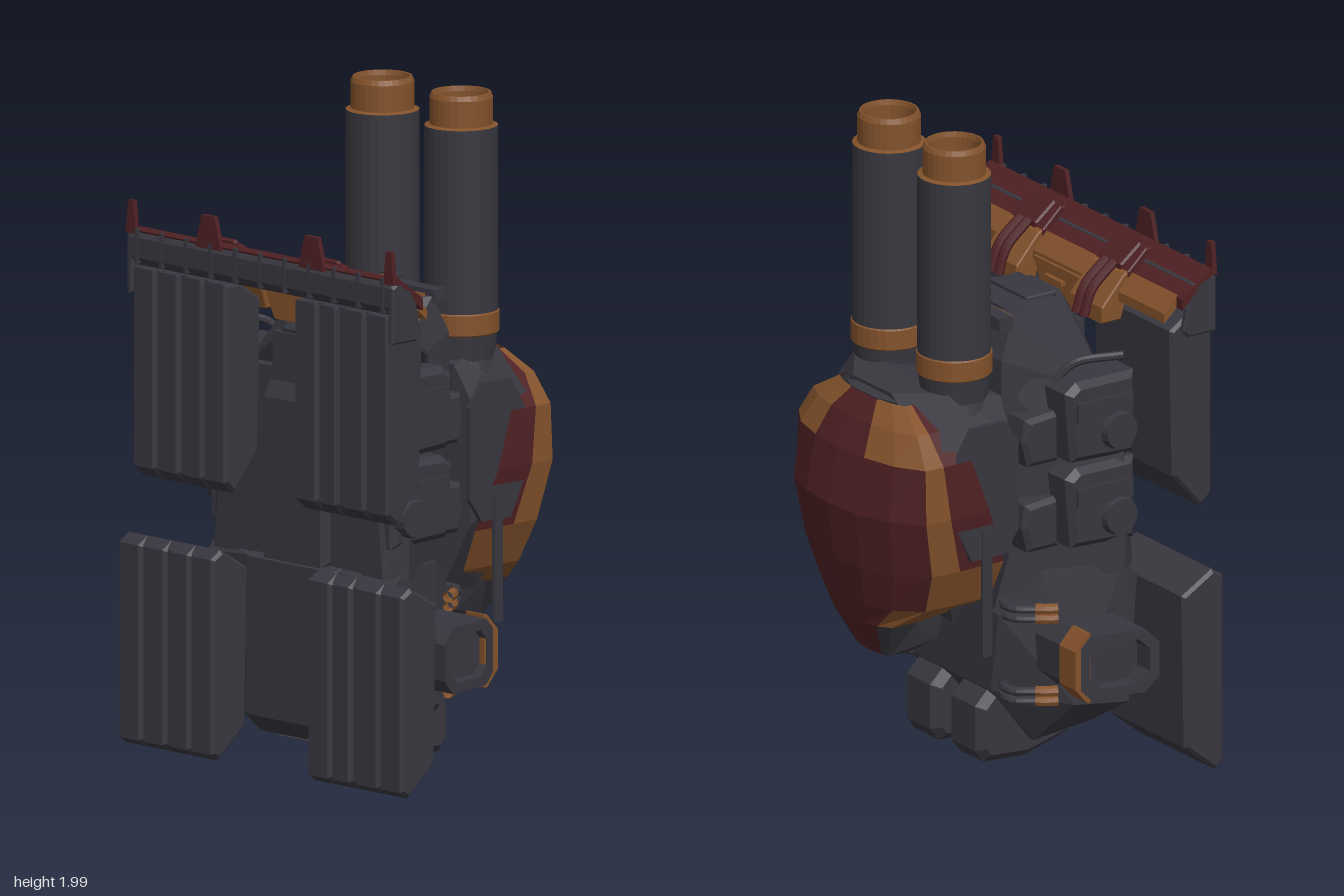
import * as THREE from 'three';
import { ConvexGeometry } from 'three/addons/geometries/ConvexGeometry.js';

const material = (name, color) => Object.assign(
  new THREE.MeshStandardMaterial({ color, flatShading: true, side: THREE.DoubleSide }), { name });

export function createModel() {
  const model = new THREE.Group();
  const dark = material('gunmetal', 0x38373f);
  const brown = material('bronze', 0x83522b);
  const red = material('dark red', 0x4e2023);
  const sides = [-1, 1];

  const add = (name, geo, mat, x = 0, y = 0, z = 0) => {
    const mesh = new THREE.Mesh(geo, mat);
    mesh.name = name;
    mesh.position.set(x, y, z);
    model.add(mesh);
    return mesh;
  };
  const box = (name, mat, w, h, d, x, y, z) => add(name, new THREE.BoxGeometry(w, h, d), mat, x, y, z);
  // Convex block; each point is also mirrored across x
  const block = (name, mat, pts) => add(name, new ConvexGeometry(
    pts.flatMap(([x, y, z]) => sides.map(s => new THREE.Vector3(s * x, y, z)))), mat);
  // Side profile of [z, y] points, extruded from x = a to x = b
  const prism = (name, mat, profile, a, b, bevel = 0.008) => {
    const x0 = Math.min(a, b), x1 = Math.max(a, b);
    const geo = new THREE.ExtrudeGeometry(new THREE.Shape(profile.map(p => new THREE.Vector2(...p))), {
      depth: x1 - x0 - bevel * 2, bevelEnabled: bevel > 0, bevelSize: bevel, bevelThickness: bevel,
      bevelOffset: -bevel, bevelSegments: 1 });
    geo.rotateY(-Math.PI / 2).translate(x1 - bevel, 0, 0);
    return add(name, geo, mat);
  };
  const tube = (name, mat, pts, r) => add(name, new THREE.TubeGeometry(
    new THREE.CatmullRomCurve3(pts.map(p => new THREE.Vector3(...p))), 12, r, 8), mat);

  // Hull
  block('rearHull', dark, [[.2, .14, .36], [.2, .62, .36], [.4, .6, .33], [.4, .2, .3], [.2, .08, .3], [.22, .07, .08],
    [.38, .22, .12], [.2, .25, -.06], [.24, .5, -.06], [.3, .63, .06], [.4, .65, .28]]);
  block('middleHull', dark, [[.41, .62, .28], [.41, .82, .28], [.36, 1.2, .3], [.36, .62, .34], [.3, 1.2, .34],
    [.22, .55, -.05], [.22, 1.24, -.05]]);
  block('nose', dark, [[.3, 1.15, .3], [.24, 1.15, -.05], [.24, 1.3, -.05], [.22, 1.41, 0], [.07, 1.41, .28], [.06, 1.32, .34]]);
  prism('bellyKeel', dark, [[.2, .62], [.365, .62], [.365, 1.11], [.34, 1.16], [.2, 1.16]], -.14, .14, .02);
  prism('rearBelly', dark, [[.1, .07], [.3, .08], [.37, .14], [.375, .62], [.3, .64], [.1, .64]], -.2, .2, .015);

  // Nose details
  box('noseBrow', dark, .46, .04, .05, 0, 1.41, -.025);
  box('noseTrim', brown, .4, .012, .012, 0, 1.412, .016);
  box('noseSlot', dark, .24, .012, .015, 0, 1.412, .045);
  prism('noseHatch', dark, [[.14, 1.4], [.25, 1.4], [.25, 1.42], [.14, 1.42]], -.1, .1, .005);
  box('noseHook', dark, .07, .05, .04, 0, 1.42, -.05);
  box('noseHookTip', brown, .06, .008, .012, 0, 1.435, -.025);
  box('noseTip', brown, .09, .012, .015, 0, 1.41, .312);
  block('bellyTrim', brown, [[.13, 1.45, .36], [.08, 1.35, .36], [.07, 1.35, .32], [.12, 1.45, .32]]);
  box('bellyStep', dark, .2, .14, .05, 0, 1.24, .325);

  const foot = [[.25, .06], [.08, .01], [-.07, .02], [-.1, .06], [-.1, .2], [-.05, .25], [.1, .25]];
  const rearTrack = [[.5, .03], [.47, .01], [.36, .1], [.35, .58], [.46, .645], [.5, .62]];
  const frontTrack = [[.5, .86], [.46, .825], [.36, .94], [.35, 1.4], [.44, 1.46], [.5, 1.46]];
  // Four bars over a recessed core, with a wider gap in the middle
  const trackSet = (name, profile, inner, outer, s) => {
    const step = (outer - inner) / 4;
    for (let i = 0; i < 4; i++)
      prism(name, dark, profile, s * (inner + i * step), s * (inner + (i + 1) * step - (i === 1 ? .02 : .004)), .01);
    const core = profile.map(([z, y]) => [Math.min(z, .485), y]);
    prism(name + 'Core', dark, core, s * (inner + .01), s * (outer - .01), .015);
  };

  // Octagonal outline in z and y
  const octagon = (z0, z1, y0, y1, k) => [[z1 - k, y0], [z0 + k, y0], [z0, y0 + k], [z0, y1 - k],
    [z0 + k, y1], [z1 - k, y1], [z1, y1 - k], [z1, y0 + k]].map(p => new THREE.Vector2(...p));

  for (const s of sides) {
    prism('tailFoot', dark, foot, s * .115 - .085, s * .115 + .085, .025);
    trackSet('rearTrack', rearTrack, .2, .612, s);
    trackSet('frontTrack', frontTrack, .145, .55, s);

    // Suspension boxes with round hubs
    for (const y of [.84, 1.11]) {
      prism('suspensionBox', dark, [[.33, y - .13], [.1, y - .12], [.08, y + .1], [.12, y + .13], [.33, y + .13]],
        s * .26, s * .4, .02);
      const hub = add('hub', new THREE.CylinderGeometry(.055, .065, .04, 16), dark, s * .405, y - .04, .26);
      hub.rotation.z = -s * Math.PI / 2;
      box('suspensionArm', dark, .05, .06, .2, s * .385, y + .04, .21);
      prism('sidePod', dark, [[.1, y - .13], [-.01, y - .13], [-.03, y - .05], [-.02, y + .02], [.1, y + .03]],
        s * .21, s * .33, .015);
    }

    // Side exhaust duct: octagonal sleeve, cut at a slant at its open end
    const duct = new THREE.Shape(octagon(.03, .29, .29, .49, .045));
    duct.holes.push(new THREE.Path(octagon(.07, .26, .32, .46, .035)));
    const sleeve = new THREE.ExtrudeGeometry(duct, { depth: .18, bevelEnabled: false });
    const p = sleeve.attributes.position;
    for (let i = 0; i < p.count; i++) p.setZ(i, p.getZ(i) > .1 ? .52 + (p.getX(i) - .03) * .2 : .3);
    add('exhaustDuct', sleeve.rotateY(-Math.PI / 2), dark).scale.x = -s;
    box('exhaustCore', dark, .2, .15, .2, s * .4, .39, .165);
    prism('exhaustCollar', brown, [[.075, .28], [.065, .28], [.02, .33], [.02, .45], [.065, .5], [.075, .5]], s * .44, s * .522, 0);

    // Cables in pairs above and below the duct
    for (const y of [.24, .27, .5, .53]) {
      tube('cable', dark, [[s * .18, y, .03], [s * .22, y, -.03], [s * .28, y, -.04], [s * .34, y, .03]], .014);
      tube('cableTip', brown, [[s * .325, y, .015], [s * .345, y, .04], [s * .36, y, .07]], .017);
    }

    // Hand rail beside the nose
    tube('handRail', dark, [[s * .3, 1.22, .1], [s * .33, 1.28, .15], [s * .4, 1.3, .28]], .013);

    // Bumper clamps, short pipes, spikes and end plates
    prism('clamp', brown, [[.27, 1.37], [.34, 1.37], [.365, 1.45], [.365, 1.515], [.35, 1.51], [.27, 1.42]], s * .22 - .085, s * .22 + .085, .004);
    prism('clampPlate', red, [[.365, 1.45], [.45, 1.5], [.45, 1.575], [.43, 1.575], [.365, 1.515]], s * .22 - .085, s * .22 + .085, .004);
    prism('clampCover', red, [[.36, 1.5], [.44, 1.55], [.445, 1.58], [.43, 1.585], [.36, 1.53]], s * .22 - .055, s * .22 + .055, .006);
    for (const x of [.2, .24]) tube('clampPipe', red, [[s * x, 1.38, .25], [s * x, 1.46, .28], [s * x, 1.53, .36]], .015);
    for (const [x, w] of [[.22, .055], [.55, .022]]) {
      const spike = new THREE.Shape([[-w, 0], [w, 0], [w * .5, .1], [-w * .5, .1]].map(q => new THREE.Vector2(...q)));
      add('spike', new THREE.ExtrudeGeometry(spike, { depth: .015, bevelEnabled: false }), red, s * x, 1.56, .485);
    }
    prism('bumperEnd', dark, [[.5, 1.38], [.5, 1.55], [.47, 1.57], [.4, 1.5], [.38, 1.4], [.4, 1.38]], s * .545, s * .57, .006);
  }

  // Front bumper: dark bar, red upper plate and bronze lower plate
  prism('bumperBar', dark, [[.5, 1.49], [.5, 1.55], [.485, 1.57], [.42, 1.54], [.39, 1.47], [.48, 1.465]], -.57, .57, .01);
  prism('bumperRedPlate', red, [[.497, 1.572], [.48, 1.582], [.375, 1.505], [.375, 1.47]], -.57, .57, 0);
  prism('bumperBronzePlate', brown, [[.375, 1.47], [.38, 1.51], [.33, 1.46], [.33, 1.43]], -.54, .54, 0);
  for (let i = -5; i <= 5; i++) box('bumperRib', dark, .012, .105, .02, i * .105, 1.525, .493);

  // Turret body and neck
  block('turretBody', dark, [[.31, .72, -.07], [.31, 1.1, -.07], [.2, .5, -.05], [.2, .5, -.2], [.25, 1.2, -.06],
    [.24, 1.24, -.24], [.32, .85, -.33], [.32, 1.05, -.33], [.1, 1.22, -.35]]);
  block('turretRing', dark, [[.18, .6, 0], [.18, 1.15, 0], [.2, .6, -.1], [.2, 1.15, -.1]]);
  block('turretTail', dark, [[.08, .38, -.28], [.12, .42, -.2], [.16, .58, -.18], [.08, .385, -.34], [.14, .58, -.41]]);

  // Armoured shell: rows of [y, half width, inner z, outer z] and a shared half outline
  const rows = [[.385, .08, -.335, -.36], [.5, .15, -.29, -.43], [.57, .25, -.1, -.455], [.7, .31, -.09, -.487],
    [.88, .337, -.16, -.51], [1.05, .33, -.22, -.475], [1.14, .27, -.27, -.43], [1.2, .17, -.29, -.38]];
  const half = [[1, 0], [1, .4], [.99, .65], [.73, .86], [.38, .97]];
  const outline = [...half, [0, 1], ...half.map(([x, z]) => [-x, z]).reverse()];
  const rings = rows.map(([y, w, z0, z1]) => outline.map(([x, z]) => [x * w, y, z0 + (z1 - z0) * z]));
  const shellColour = (i, edge) => {
    if (i === 0) return edge < 3 ? dark : red;
    if (i === 1) return edge < 3 ? brown : red;
    if (i === 2) return edge < 2 ? brown : red;
    if (i > 4) return edge > 0 && edge < 4 ? brown : red;
    return edge === 1 ? brown : red;
  };
  const faces = new Map([[dark, []], [brown, []], [red, []]]);
  for (let i = 0; i < rows.length - 1; i++) for (let j = 0; j < 10; j++) {
    const [a, b, c, d] = [rings[i][j], rings[i][j + 1], rings[i + 1][j + 1], rings[i + 1][j]];
    faces.get(shellColour(i, Math.min(j, 9 - j))).push(...a, ...b, ...c, ...a, ...c, ...d);
  }
  for (const [mat, points] of faces) {
    const geo = new THREE.BufferGeometry();
    geo.setAttribute('position', new THREE.Float32BufferAttribute(points, 3));
    geo.computeVertexNormals();
    add('turretShell', geo, mat);
  }
  block('shellTop', dark, [[.16, 1.195, -.29], [.06, 1.205, -.385], [.13, 1.2, -.35], [.2, 1.1, -.29], [.1, 1.215, -.3]]);

  // Side armour and hanging blades
  const plate = [[-.05, .8], [-.1, .73], [-.22, .73], [-.28, .85], [-.28, 1.05], [-.22, 1.15], [-.1, 1.15], [-.05, 1.08]];
  for (const s of sides) {
    prism('sideArmour', dark, plate, s * .315, s * .33, 0);
    box('blade', dark, .01, .4, .035, s * .328, .62, -.165);

    // Twin barrels, open at the muzzle
    const lathe = (name, mat, pts) => add(name, new THREE.LatheGeometry(
      pts.map(q => new THREE.Vector2(...q)), 28), mat, s * .168, 0, -.17);
    lathe('barrel', dark, [[0, 1], [.12, 1], [.12, 1.12], [.1, 1.2], [.11, 1.29], [.11, 1.9]]);
    lathe('barrelBand', brown, [[.108, 1.275], [.114, 1.28], [.114, 1.34], [.109, 1.345]]);
    lathe('muzzle', brown, [[.11, 1.9], [.095, 1.905], [.095, 1.985], [.088, 2], [.082, 2], [.078, 1.985], [.078, 1.9]]);
    lathe('bore', dark, [[.08, 1.92], [0, 1.92]]);
  }
  return model;
}
